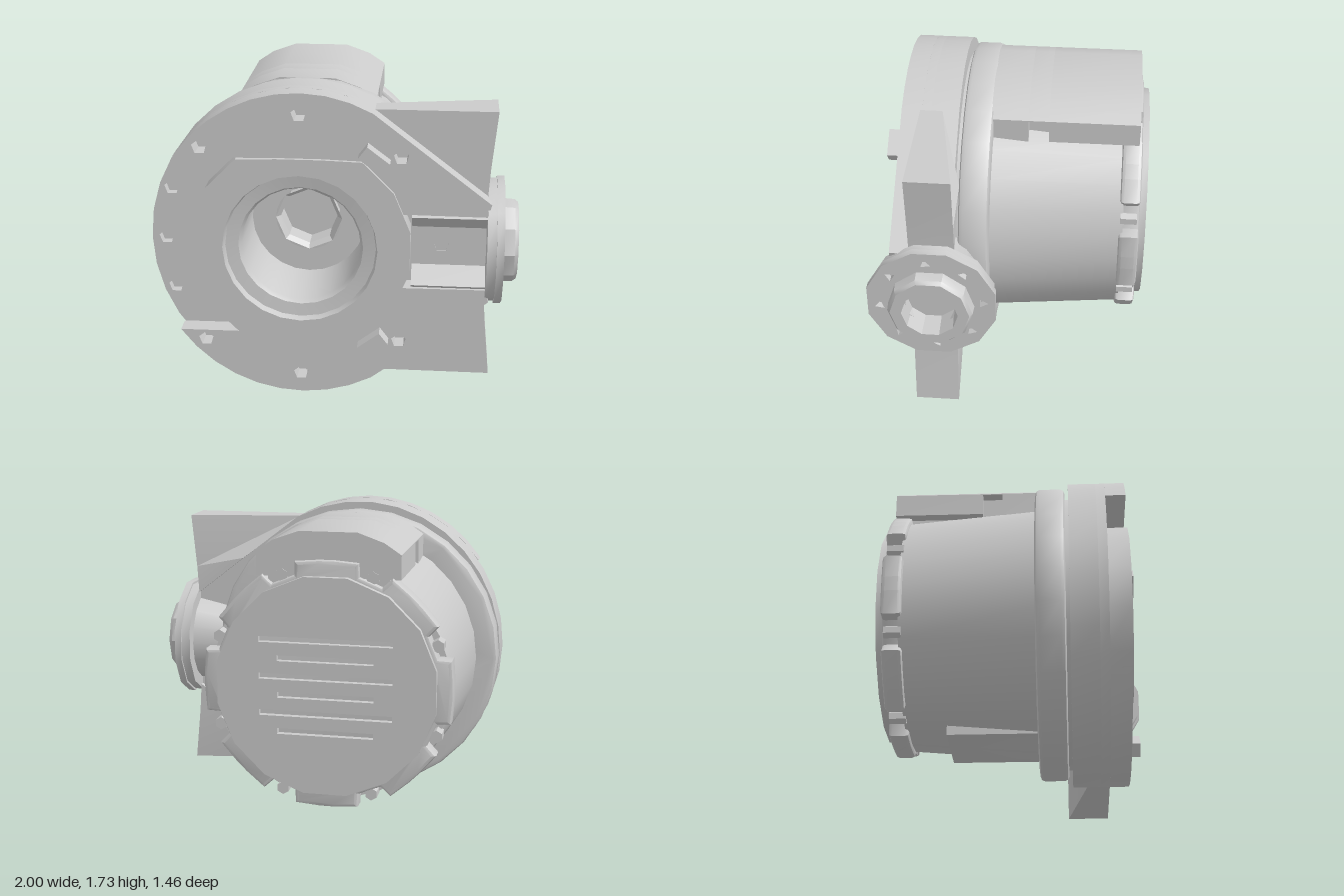
import * as THREE from 'three';
import { toCreasedNormals } from 'three/addons/utils/BufferGeometryUtils.js';

const CX = -0.17, CY = 0.87, RAD = Math.PI / 180;
const material = new THREE.MeshStandardMaterial({ color: 0xcccccc, side: THREE.DoubleSide });

export function createModel() {
  const model = new THREE.Group();

  const add = (name, geometry, crease = 0.6) => {
    const mesh = new THREE.Mesh(toCreasedNormals(geometry, crease), material);
    mesh.name = name;
    model.add(mesh);
    return mesh;
  };
  // Points on an elliptical arc, in degrees
  const arc = (x, y, rx, ry, from, to, n) =>
    Array.from({ length: n + 1 }, (_, i) => {
      const a = (from + ((to - from) * i) / n) * RAD;
      return new THREE.Vector2(x + rx * Math.cos(a), y + ry * Math.sin(a));
    });
  const ring = (x, y, r, n, turn = 0) => arc(x, y, r, r, turn, turn + 360, n).slice(0, n);
  const pts = (list) => list.map(([x, y]) => new THREE.Vector2(x, y));
  // Flat outline with holes, extruded from z0 to z1
  const slab = (outline, z0, z1, holes = [], bevel = 0) => {
    const shape = new THREE.Shape(outline);
    shape.holes = holes.map((h) => new THREE.Path(h));
    return new THREE.ExtrudeGeometry(shape, {
      depth: z1 - z0 - 2 * bevel, bevelEnabled: bevel > 0, bevelSize: bevel,
      bevelOffset: -bevel, bevelThickness: bevel, bevelSegments: 2,
    }).translate(0, 0, z0 + bevel);
  };
  // Turned part along z on the main axis; profile is [radius, z]
  const turned = (profile, sides) =>
    new THREE.LatheGeometry(pts(profile), sides).rotateX(Math.PI / 2).translate(CX, CY, 0);
  const mirrorY = (p) => p.map(([x, y]) => [x, 2 * CY - y]);

  // Tapered rear housing and round backing flange
  add('rearHousing', turned([[0, -0.6], [0.65, -0.6], [0.71, 0.13]], 28));
  const bore = ring(CX, CY, 0.4, 24);
  add('backingFlange', slab(ring(CX, CY, 0.83, 28), 0.12, 0.28, [bore], 0.025));
  add('flangeNeck', slab(ring(CX, CY, 0.77, 28), 0.27, 0.32, [bore]));

  // Front plate: round on one side, tapering to the outlet on the other
  const outline = [...arc(CX, CY, 0.83, 0.865, 62, 298, 22), ...pts([[0.85, 0.59], [0.85, 1.15]])];
  const hole = ([x, y]) => ring(x, y, 0.042, 5, 20);
  add('frontPlate', slab(outline, 0.3, 0.45, [bore]));
  const bandHoles = [[-0.88, 1.16], [-0.92, 0.87], [-0.88, 0.58], [0.59, 0.87]];
  add('frontPlateFace', slab(outline, 0.45, 0.5, [bore, ...bandHoles.map(hole)]));

  // Raised face, with a channel leading to the outlet
  const raised = [
    ...arc(CX, CY, 0.83, 0.865, 62, 144, 9),
    ...arc(CX, CY, 0.505, 0.505, 90, -90, 14),
    ...arc(CX, CY, 0.83, 0.865, 216, 298, 9),
    ...pts([[0.85, 0.59], [0.83, 0.66], [0.44, 0.66]]),
    ...pts([[0.44, 1.08], [0.83, 1.08], [0.85, 1.15]]),
  ];
  // Two halves keep the channel open right up to the centre boss
  const half = [
    ...arc(CX, CY, 0.83, 0.865, 62, 144, 9),
    ...arc(CX, CY, 0.505, 0.505, 90, 25, 6),
    ...raised.slice(-2),
  ];
  const upperHoles = [[-0.17, 1.62], [-0.7, 1.43], [0.37, 1.4]];
  const flip = (v) => new THREE.Vector2(v.x, 2 * CY - v.y);
  add('upperRaisedFace', slab(half, 0.5, 0.61, upperHoles.map(hole)));
  add('lowerRaisedFace', slab(half.map(flip).reverse(), 0.5, 0.61, mirrorY(upperHoles).map(hole)));
  for (const s of [1, -1]) {
    // Sloping channel wall and small lug
    const wall = new THREE.BoxGeometry(0.4, 0.13, 0.02);
    const w = add('channelWall', wall);
    w.position.set(0.63, CY + s * 0.16, 0.55);
    w.rotation.x = s * 0.85;
    const lug = add('faceLug', new THREE.BoxGeometry(0.15, 0.08, 0.09));
    lug.position.set(0.23, CY + s * 0.53, 0.645);
    lug.rotation.z = -s * 0.65;
  }

  // Centre boss with stepped bore
  const boss = ring(CX, CY, 0.605, 16, 11.25).map(
    (v) => new THREE.Vector2(v.x, THREE.MathUtils.clamp(v.y, CY - 0.51, CY + 0.51)));
  add('centreBoss', slab(boss, 0.48, 0.63, [ring(CX, CY, 0.42, 24)]));
  add('bore', turned([[0.42, 0.63], [0.41, 0.59], [0.34, 0.58], [0.325, 0.55], [0.325, 0.15], [0.19, 0.15]], 24));
  add('shaftSocket', turned([[0.19, 0.15], [0.165, 0.12], [0.165, 0.0], [0, 0.0]], 8));

  // Triangular side fins, thinner at the inner end
  const fin = [[0.22, 1.63], [0.55, 1.38], [0.83, 1.16], [0.84, 1.32], [0.87, 1.63]];
  for (const [name, p] of [['upperFin', fin], ['lowerFin', mirrorY(fin)]]) {
    const g = slab(pts(p), 0.27, 0.51);
    const a = g.attributes.position;
    for (let i = 0; i < a.count; i++) if (a.getX(i) < 0.3 && a.getZ(i) < 0.4) a.setZ(i, 0.39);
    g.computeVertexNormals();
    add(name, g, 0.3);
  }

  // Outlet neck, widening outward and cut flat at the channel floor
  const neck = new THREE.CylinderGeometry(0.27, 0.16, 0.5, 16, 1).rotateZ(-Math.PI / 2).translate(0.6, CY, 0.39);
  const np = neck.attributes.position;
  for (let i = 0; i < np.count; i++) np.setZ(i, Math.min(np.getZ(i), 0.495));
  add('outletNeck', neck);

  // Outlet flange with eight holes, and a faceted nozzle
  const toSide = (g) => g.rotateY(Math.PI / 2).translate(0, CY, 0.39);
  const smallHoles = Array.from({ length: 8 }, (_, i) => {
    const a = (i * 45 + 5) * RAD;
    return ring(0.275 * Math.cos(a), 0.275 * Math.sin(a), 0.03, 3, i * 50);
  });
  const socket = ring(0, 0, 0.15, 8, 22.5);
  add('outletFlangeBack', toSide(slab(ring(0, 0, 0.34, 12, 15), 0.83, 0.88, [socket])));
  add('outletFlange', toSide(slab(ring(0, 0, 0.352, 12, 15), 0.88, 0.92, [socket, ...smallHoles])));
  const nozzle = new THREE.LatheGeometry(pts([[0.23, 0.9], [0.225, 0.98], [0.21, 1], [0.15, 1], [0.14, 0.86], [0, 0.86]]), 10);
  add('outletNozzle', nozzle.rotateZ(-Math.PI / 2).translate(0, CY, 0.39));

  // Top terminal box, in three lengths so the skirt has a notch each side
  const box = (skirt) => pts([
    [-0.56, skirt], [-0.56, 1.58], [-0.47, 1.64], [-0.33, 1.69],
    [-0.02, 1.69], [0.12, 1.64], [0.21, 1.58], [0.21, skirt],
  ]);
  const inner = pts([[-0.5, 1.35], [-0.5, 1.6], [0.15, 1.6], [0.15, 1.35]]);
  for (const [z0, z1, skirt] of [[-0.07, 0.13, 1.44], [-0.18, -0.07, 1.575], [-0.67, -0.18, 1.45]])
    add('terminalBox', slab(box(skirt), z0, z1));
  add('terminalBoxCore', slab(inner, -0.66, 0.12));
  const pad = add('bottomPad', new THREE.BoxGeometry(0.44, 0.2, 0.49));
  pad.position.set(CX, 0.29, -0.125);

  // Rear cap: notched rim and a slotted cover
  const rim = [];
  for (let i = 0; i < 8; i++) {
    const a = i * 45 + 22.5;
    for (const [d, r] of [[-19, 0.675], [-8, 0.685], [-6, 0.615], [6, 0.615], [8, 0.685], [19, 0.675]])
      rim.push(...arc(CX, CY, r, r, a + d, a + d, 1).slice(0, 1));
  }
  add('rearCap', slab(rim, -0.69, -0.58, [], 0.02), 0.4);
  const slots = [-0.25, -0.15, -0.05, 0.05, 0.15, 0.25].map((y, i) => {
    const w = i % 2 ? 0.36 : 0.26, h = 0.016;
    return pts([[CX - w, CY + y - h], [CX + w, CY + y - h], [CX + w, CY + y + h], [CX - w, CY + y + h]]);
  });
  add('rearCover', slab(ring(CX, CY, 0.6, 16, 11.25), -0.725, -0.685, slots));
  for (let i = 0; i < 8; i++) {
    const a = (i * 45 + 22.5) * RAD;
    const bolt = add('capBolt', new THREE.CylinderGeometry(0.035, 0.035, 0.09, 6).rotateX(Math.PI / 2));
    bolt.position.set(CX + 0.635 * Math.cos(a), CY + 0.635 * Math.sin(a), -0.63);
  }
  return model;
}
